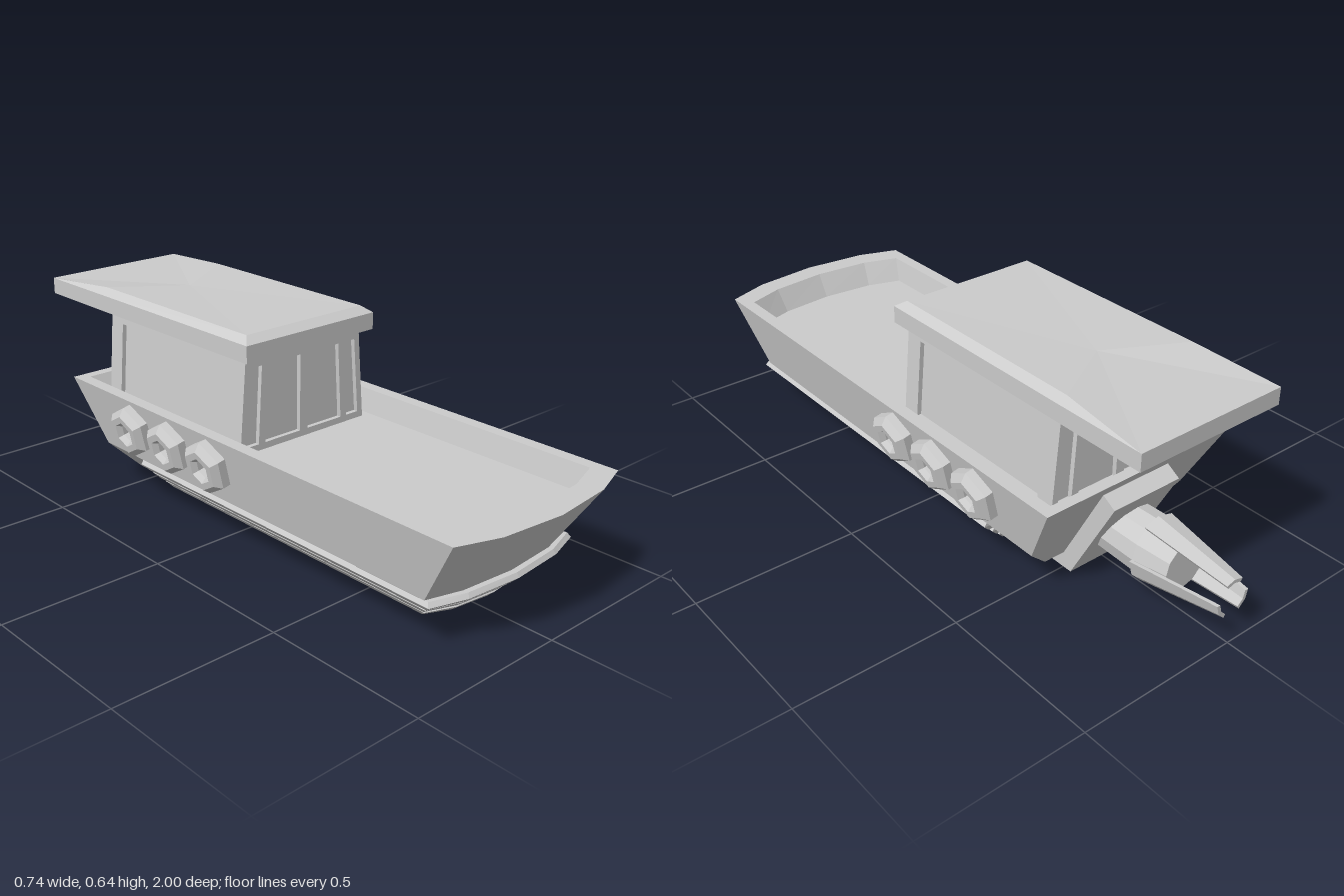
import * as THREE from 'three';

const mat = new THREE.MeshStandardMaterial({ color: 0xcccccc, flatShading: true, side: THREE.DoubleSide });

function add(parent, name, geometry) {
  const mesh = new THREE.Mesh(geometry, mat);
  mesh.name = name;
  parent.add(mesh);
  return mesh;
}

// Skin a stack of closed rings (counter-clockwise seen from the last ring) and cap both ends
function loft(rings) {
  const n = rings[0].length, pos = [];
  const tri = (...p) => p.forEach(v => pos.push(...v));
  for (let i = 0; i < rings.length - 1; i++) {
    for (let j = 0; j < n; j++) {
      const k = (j + 1) % n, a = rings[i], b = rings[i + 1];
      tri(a[j], a[k], b[k]);
      tri(a[j], b[k], b[j]);
    }
  }
  const mid = r => [0, 1, 2].map(c => r.reduce((s, p) => s + p[c], 0) / n);
  const first = rings[0], last = rings[rings.length - 1];
  for (let j = 0; j < n; j++) {
    const k = (j + 1) % n;
    tri(mid(first), first[k], first[j]);
    tri(mid(last), last[j], last[k]);
  }
  const g = new THREE.BufferGeometry();
  g.setAttribute('position', new THREE.Float32BufferAttribute(pos, 3));
  g.computeVertexNormals();
  return g;
}

// Deck-plan outline: square stern, gently curved bow
function plan(y, hw, stern, corner, nose) {
  const m = corner + (nose - corner) * 0.69;
  return [[-hw, y, stern], [-hw, y, corner], [-hw * 0.61, y, m], [0, y, nose],
    [hw * 0.61, y, m], [hw, y, corner], [hw, y, stern]];
}

const rect = (y, hw, back, front, yBack = y, hwBack = hw) =>
  [[-hwBack, yBack, back], [-hw, y, front], [hw, y, front], [hwBack, yBack, back]];

const poly = pts => new THREE.Shape(pts.map(p => new THREE.Vector2(...p)));

function extrude(shape, depth) {
  return new THREE.ExtrudeGeometry(shape, { depth, bevelEnabled: false });
}

// Cabin half width at a height
const cabinHW = y => 0.24 - (y - 0.35) * 0.082;
const Z_CABIN = -0.255, DECK = 0.28, CABIN_TOP = 0.575;

function buildCabin() {
  const cabin = new THREE.Group();
  cabin.name = 'cabin';
  add(cabin, 'cabinPanes', loft([DECK, CABIN_TOP].map(y => rect(y, cabinHW(y) - 0.014, -0.566, 0.056))));

  // Front and back frames, four panes each
  const b = 0.3, t = 0.537;
  for (const s of [1, -1]) {
    const wall = poly([[-cabinHW(DECK), DECK], [cabinHW(DECK), DECK],
      [cabinHW(CABIN_TOP), CABIN_TOP], [-cabinHW(CABIN_TOP), CABIN_TOP]]);
    for (const m of [1, -1]) {
      wall.holes.push(poly([[0.015 * m, b], [0.152 * m, b], [0.138 * m, t], [0.015 * m, t]]));
      wall.holes.push(poly([[0.176 * m, b], [0.235 * m, b], [0.218 * m, t], [0.162 * m, t]]));
    }
    const g = extrude(wall, 0.02).translate(0, 0, 0.305).rotateY(s > 0 ? 0 : Math.PI);
    add(cabin, s > 0 ? 'frontWindowFrame' : 'backWindowFrame', g.translate(0, 0, Z_CABIN));
  }

  // Leaning side frames with one large pane
  for (const s of [1, -1]) {
    const wall = poly([[-0.325, DECK], [0.325, DECK], [0.325, CABIN_TOP], [-0.325, CABIN_TOP]]);
    wall.holes.push(poly([[-0.267, b], [0.267, b], [0.267, t], [-0.267, t]]));
    const g = extrude(wall, 0.02), p = g.attributes.position;
    for (let i = 0; i < p.count; i++) p.setZ(i, p.getZ(i) - 0.02 + cabinHW(p.getY(i)));
    g.computeVertexNormals();
    g.rotateY(s * Math.PI / 2).translate(0, 0, Z_CABIN);
    add(cabin, s > 0 ? 'leftWindowFrame' : 'rightWindowFrame', g);
  }

  // Roof with bevelled edges, sloping down at the back
  const roofRing = (y, hw, front, yMid, hwMid, yBack) => [
    [-0.246, yBack, -0.88], [-hwMid, yMid, -0.6], [-hw, y, front],
    [hw, y, front], [hwMid, yMid, -0.6], [0.246, yBack, -0.88]];
  add(cabin, 'roof', loft([
    roofRing(0.568, 0.247, 0.105, 0.568, 0.247, 0.568),
    roofRing(0.62, 0.247, 0.105, 0.62, 0.247, 0.619),
    roofRing(0.64, 0.222, 0.075, 0.64, 0.224, 0.62),
  ]));
  return cabin;
}

function buildThruster() {
  const thruster = new THREE.Group();
  thruster.name = 'thruster';
  const profile = [[0.085, 0], [0.09, 0.18], [0.07, 0.285], [0, 0.285]].map(p => new THREE.Vector2(...p));
  add(thruster, 'thrusterBody', new THREE.LatheGeometry(profile, 12));

  // Three tapering nozzle petals
  const step = Math.PI / 6;
  for (let i = 0; i < 3; i++) {
    const mid = i * Math.PI * 2 / 3;
    const ring = (r, h) => {
      const at = (rad, k) => [rad * Math.sin(mid + k * step), h, rad * Math.cos(mid + k * step)];
      return [at(r, -1), at(r, 0), at(r, 1), at(r - 0.011, 1), at(r - 0.011, 0), at(r - 0.011, -1)];
    };
    add(thruster, 'nozzlePetal' + (i + 1), loft([ring(0.101, 0.18), ring(0.058, 0.45)]));
  }
  thruster.rotation.x = -Math.PI / 2;
  thruster.position.set(0, 0.148, -0.55);
  return thruster;
}

export function createModel() {
  const boat = new THREE.Group();
  boat.name = 'boat';

  // Hull skin, rim and sunken deck in one loft
  add(boat, 'hull', loft([
    plan(0.05, 0.19, -0.5, 0.73, 0.79),
    plan(0.145, 0.284, -0.55, 0.815, 0.86),
    plan(0.352, 0.33, -0.658, 0.935, 1.0),
    plan(0.352, 0.29, -0.625, 0.875, 0.93),
    plan(DECK, 0.275, -0.588, 0.84, 0.89),
  ]));

  // Stepped lower planks: [top, widest, bottom, half width, stern, nose]
  [[0.145, 0.132, 0.109, 0.291, -0.36, 0.885],
    [0.108, 0.096, 0.073, 0.255, -0.35, 0.845],
    [0.071, 0.06, 0.037, 0.218, -0.335, 0.81]].forEach(([top, wide, low, hw, stern, nose], i) => {
    add(boat, 'plank' + (i + 1), loft([
      plan(low, hw - 0.022, stern + 0.01, nose - 0.075, nose - 0.025),
      plan(wide, hw, stern, nose - 0.05, nose),
      plan(top, hw - 0.008, stern, nose - 0.058, nose - 0.008),
    ]));
  });

  // Keel running up the transom
  const keel = extrude(poly([[0.49, 0], [-0.53, 0], [-0.685, 0.293], [-0.64, 0.32], [-0.49, 0.06], [0.49, 0.06]]), 0.24);
  add(boat, 'keel', keel.translate(0, 0, -0.12).rotateY(-Math.PI / 2));

  // Six-sided fenders along both sides
  const tyre = [[0.03, -0.01], [0.085, -0.01], [0.085, 0.026], [0.064, 0.046], [0.042, 0.046], [0.03, 0.03], [0.03, -0.01]]
    .map(p => new THREE.Vector2(...p));
  const tyreGeo = new THREE.LatheGeometry(tyre, 6, Math.PI / 2);
  for (const s of [1, -1]) {
    [0.015, -0.17, -0.355].forEach((z, i) => {
      const f = add(boat, (s > 0 ? 'leftFender' : 'rightFender') + (i + 1), tyreGeo);
      f.position.set(s * 0.309, 0.258, z);
      f.rotation.z = -s * (Math.PI / 2 + 0.215);
    });
  }

  boat.add(buildCabin(), buildThruster());
  return boat;
}
